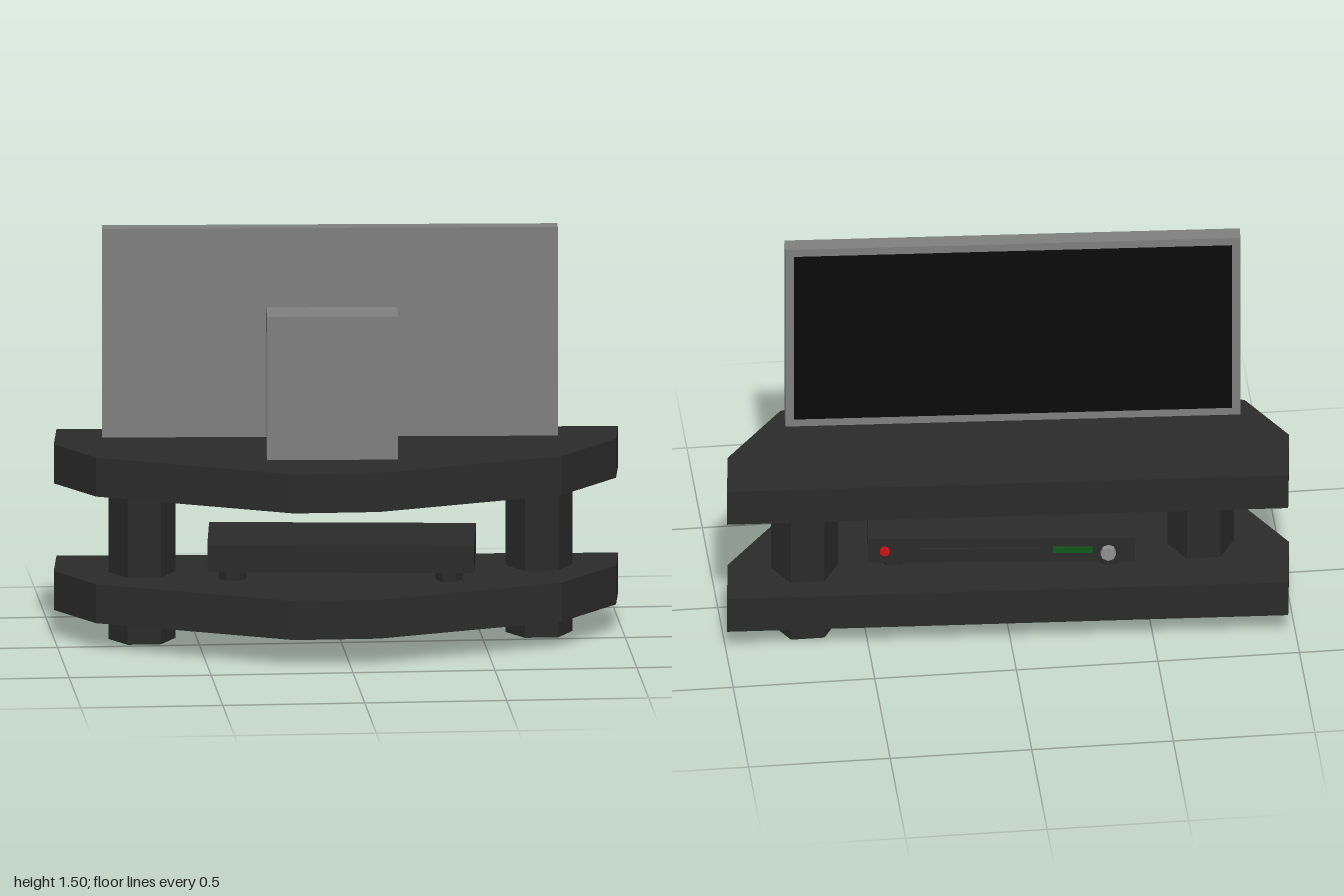
import * as THREE from 'three';

const mat = (color) => new THREE.MeshStandardMaterial({ color, flatShading: true });

export function createModel() {
  const root = new THREE.Group();
  root.name = 'televisionOnStand';
  const dark = mat(0x2b2b2b), grey = mat(0x808080), black = mat(0x0a0a0a);
  const red = mat(0xcc1010), green = mat(0x0f5a18), silver = mat(0x909090);

  const add = (parent, name, geo, material, x, y, z) => {
    const m = new THREE.Mesh(geo, material);
    m.name = name;
    m.position.set(x, y, z);
    parent.add(m);
    return m;
  };
  const box = (w, h, d) => new THREE.BoxGeometry(w, h, d);
  // Hexagonal prism with corners pointing along x
  const hex = (r, h) => new THREE.CylinderGeometry(r, r, h, 6).rotateY(Math.PI / 2);
  const group = (name, x, z, angle) => {
    const g = new THREE.Group();
    g.name = name;
    g.position.set(x, 0, z);
    g.rotation.y = angle;
    root.add(g);
    return g;
  };

  // Two shelves sharing one angular outline (x, z)
  const outline = [
    [-0.97, -0.41], [-1, -0.16], [-0.87, 0.07], [-0.2, 0.405],
    [0.1, 0.405], [0.76, 0.18], [0.975, -0.09], [1, -0.3],
  ];
  const shape = new THREE.Shape(outline.map(([x, z]) => new THREE.Vector2(x, -z)));
  const shelf = new THREE.ExtrudeGeometry(shape, { depth: 0.14, bevelEnabled: false }).rotateX(-Math.PI / 2);
  add(root, 'lowerShelf', shelf, dark, 0, 0.1, 0);
  add(root, 'upperShelf', shelf, dark, 0, 0.555, 0);

  // Hexagonal legs running through the lower shelf
  for (const [name, x] of [['rightLeg', -0.692], ['leftLeg', 0.707]]) {
    add(root, name, hex(0.118, 0.58), dark, x, 0.29, -0.125);
  }

  // Flat television with its screen towards the back, held by a hooked post
  const tv = group('television', -0.04, -0.01, -0.061);
  add(tv, 'casing', box(1.6, 0.75, 0.06), grey, 0, 1.12, 0);
  add(tv, 'screen', box(1.54, 0.69, 0.01), black, 0, 1.12, -0.0265);
  add(tv, 'post', box(0.46, 0.515, 0.07), grey, 0.006, 0.9525, 0.15);
  add(tv, 'mountArm', box(0.46, 0.085, 0.09), grey, 0.006, 1.1675, 0.071);

  // Disc player on four feet
  const player = group('player', 0.005, -0.05, -0.1);
  add(player, 'playerBody', box(0.937, 0.1, 0.37), dark, 0, 0.33, 0);
  for (const x of [-0.38, 0.38]) {
    for (const z of [-0.103, 0.103]) {
      add(player, 'playerFoot', hex(0.048, 0.042), dark, x, 0.26, z);
    }
  }

  // Controls on the player's face
  const face = -0.185;
  const disc = (r, depth, sides) => new THREE.CylinderGeometry(r, r, depth, sides).rotateX(Math.PI / 2);
  add(player, 'powerButton', disc(0.018, 0.012, 12), red, 0.41, 0.33, face - 0.003);
  add(player, 'discTray', box(0.42, 0.026, 0.008), dark, 0.07, 0.328, face - 0.002);
  add(player, 'display', box(0.14, 0.024, 0.006), green, -0.25, 0.332, face - 0.001);
  add(player, 'knobBase', disc(0.018, 0.02, 8), silver, -0.375, 0.333, face - 0.008);
  add(player, 'knob', disc(0.027, 0.022, 8), silver, -0.375, 0.333, face - 0.024);

  return root;
}
